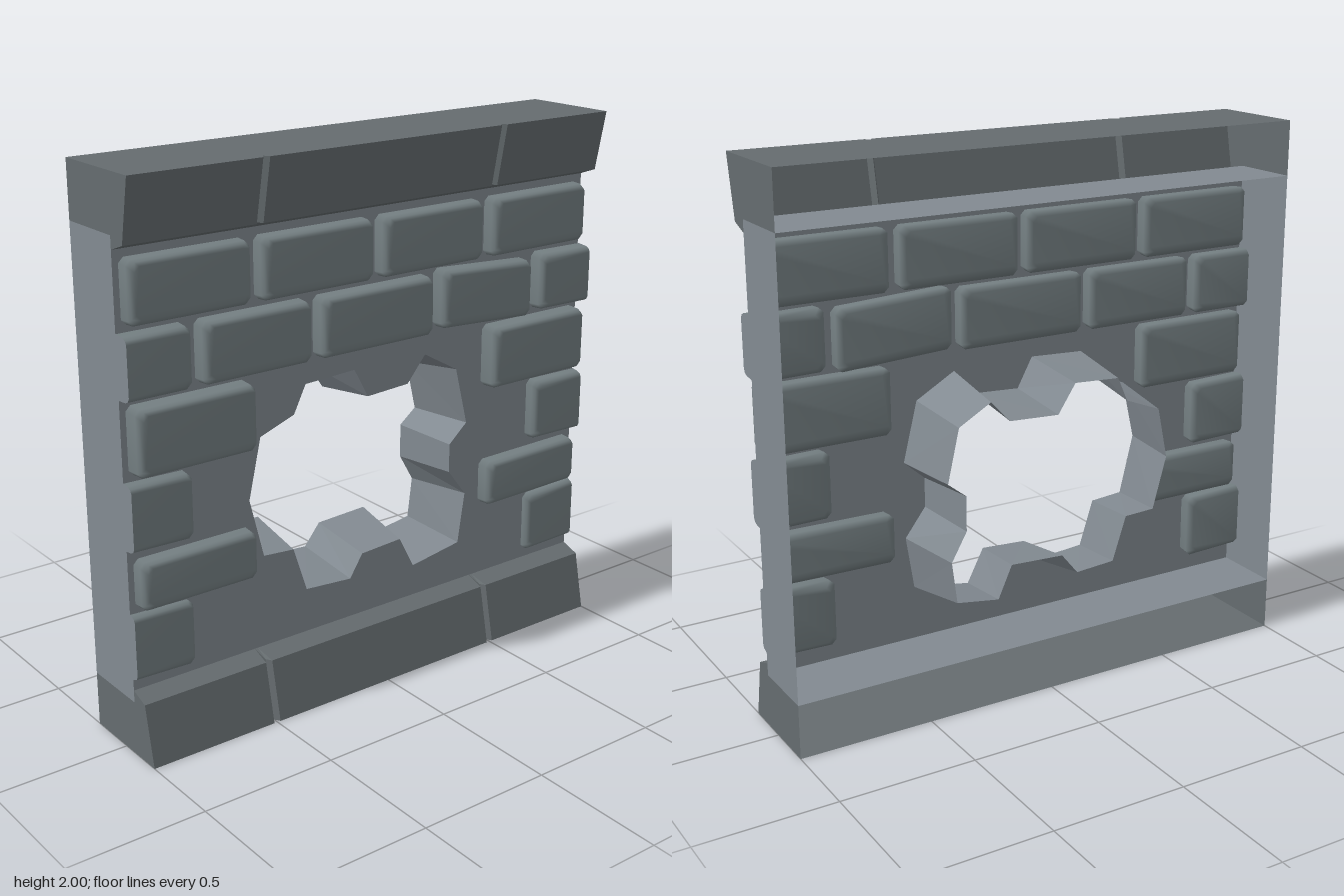
import * as THREE from 'three';

const FACE = 0.07, BACK = -0.19, BRICK_BACK = 0.01;
const flatMaterial = (color) => new THREE.MeshStandardMaterial({ color, flatShading: true, side: THREE.DoubleSide });
const wallMaterial = flatMaterial(0x828a91);
const courseMaterial = flatMaterial(0x656c6f);
const brickMaterial = new THREE.MeshStandardMaterial({ color: 0x747f82, side: THREE.DoubleSide });

// Skin between equal-length loops of [x, y, z]; optionally closed around and capped at both ends
function loft(loops, closed, capped) {
  const n = loops[0].length, index = [];
  for (let j = 0; j + 1 < loops.length; j++) {
    for (let i = 0; i < (closed ? n : n - 1); i++) {
      const a = j * n + i, b = j * n + (i + 1) % n;
      index.push(a, b, b + n, a, b + n, a + n);
    }
  }
  if (capped) {
    const s = (loops.length - 1) * n;
    for (let i = 1; i < n - 1; i++) index.push(s, s + i, s + i + 1, 0, i + 1, i);
  }
  const g = new THREE.BufferGeometry();
  g.setAttribute('position', new THREE.Float32BufferAttribute(loops.flat(2), 3));
  g.setIndex(index);
  g.computeVertexNormals();
  return g;
}

function add(group, name, geometry, material) {
  const mesh = new THREE.Mesh(geometry, material);
  mesh.name = name;
  group.add(mesh);
  return mesh;
}

const toVectors = (pts) => pts.map(([x, y]) => new THREE.Vector2(x, y));

// Flat outline of [z, y] points closing the wall at x = side
function addEnd(group, name, outline, side, material) {
  const shape = new THREE.Shape(toVectors(outline.map(([z, y]) => [-z * side, y])));
  const end = add(group, name, new THREE.ShapeGeometry(shape), material);
  end.rotation.y = side * Math.PI / 2;
  end.position.x = side;
}

// Ragged opening: outline on the front face and the narrower one at the back
const holeFront = [
  [-0.52, 0.81], [-0.47, 1.03], [-0.33, 1.08], [-0.28, 1.18], [-0.07, 1.19], [-0.01, 1.08], [0.17, 1.09],
  [0.25, 1.185], [0.4, 1.1], [0.455, 0.88], [0.375, 0.81], [0.375, 0.7], [0.455, 0.595], [0.425, 0.4],
  [0.205, 0.365], [0.14, 0.49], [-0.035, 0.48], [-0.09, 0.395], [-0.285, 0.41], [-0.34, 0.58], [-0.465, 0.59]];
const holeBack = [
  [-0.49, 0.81], [-0.45, 1.0], [-0.31, 1.055], [-0.27, 1.145], [-0.09, 1.155], [-0.02, 1.05], [0.175, 1.06],
  [0.25, 1.14], [0.375, 1.07], [0.42, 0.875], [0.35, 0.82], [0.35, 0.69], [0.41, 0.585], [0.39, 0.43],
  [0.225, 0.405], [0.17, 0.525], [-0.04, 0.515], [-0.105, 0.435], [-0.26, 0.445], [-0.315, 0.61], [-0.435, 0.615]];

// Brick rows: bottom, top, front z, and [left, right, tilt] per brick
const rows = [
  [1.51, 1.73, 0.13, [[-0.98, -0.52, 0], [-0.485, -0.02, 0], [0.015, 0.475, 0], [0.515, 0.98, 0]]],
  [1.27, 1.49, 0.135, [[-1, -0.755, 0], [-0.72, -0.285, 0], [-0.25, 0.245, 0], [0.28, 0.715, -0.012], [0.755, 1, -0.002]]],
  [1.01, 1.25, 0.145, [[-0.98, -0.52, 0], [0.52, 0.985, 0]]],
  [0.75, 0.99, 0.12, [[-1, -0.76, -0.003], [0.755, 1, -0.002]]],
  [0.54, 0.72, 0.13, [[-0.98, -0.52, 0], [0.52, 0.98, 0.003]]],
  [0.28, 0.525, 0.1, [[-1, -0.76, -0.004], [0.755, 1, 0.003]]]];

// Rectangle with clipped corners; a side on the wall's end stays flush, and the loop then starts and ends there
function brickOutline(x0, x1, y0, y1, tilt, inset) {
  const c = 0.018, l = x0 <= -1 ? 0 : 1, r = x1 >= 1 ? 0 : 1;
  const a = x0 + inset * l, b = x1 - inset * r, lo = y0 + inset, hi = y1 - inset;
  const lower = [[a + c * l, lo], [b - c * r, lo]], upper = [[b - c * r, hi], [a + c * l, hi]];
  if (l) {
    lower.unshift([a, lo + c]);
    upper.push([a, hi - c]);
  }
  if (r) {
    lower.push([b, lo + c]);
    upper.unshift([b, hi - c]);
  }
  const mid = (x0 + x1) / 2, half = (x1 - x0) / 2;
  return (r ? [...lower, ...upper] : [...upper, ...lower]).map(([x, y]) => [x, y + tilt * (x - mid) / half]);
}

// Rounded brick standing out on both faces of the panel
function addBrick(group, x0, x1, y0, y1, z, tilt) {
  const steps = [[0.02, BRICK_BACK], [0, BRICK_BACK + 0.018], [0.004, z - 0.022], [0.011, z - 0.007], [0.024, z]];
  const rings = steps.map(([inset, depth]) =>
    brickOutline(x0, x1, y0, y1, tilt, inset).map(([x, y]) => [x, y, depth]));
  const side = x0 <= -1 ? -1 : x1 >= 1 ? 1 : 0;
  add(group, 'brick', loft(rings, side === 0, true), brickMaterial);
  if (side) {
    // Cut face of a half brick, from the panel forwards
    const edge = (i) => rings.slice(2).map((ring) => [ring.at(i)[2], ring.at(i)[1]]);
    const first = [[FACE, rings[1][0][1]], ...edge(0)], last = [[FACE, rings[1].at(-1)[1]], ...edge(-1)];
    addEnd(group, 'cutBrickEnd', [...first, ...last.reverse()], side, wallMaterial);
  }
}

// Stone course with V grooves, open at the back
function course(name, top) {
  const group = new THREE.Group();
  group.name = name;
  const place = (pts) => (top ? pts : pts.map(([z, y]) => [z, 2 - y]).reverse());
  const front = [[BACK, 2], [0.185, 2], [0.14, 1.78], [FACE, 1.755]];
  const stations = [[-1, 0], [-0.513, 0], [-0.5, 0.022], [-0.487, 0], [0.487, 0], [0.5, 0.022], [0.513, 0], [1, 0]];
  const loops = stations.map(([x, d]) => place(front).map(([z, y]) => [x, y, z > FACE ? z - d : z]));
  add(group, 'stoneCourse', loft(loops, false, false), courseMaterial);
  for (const side of [-1, 1]) {
    addEnd(group, 'courseEnd', place([...front, [FACE, 1.8], [BACK, 1.8]]), side, courseMaterial);
  }
  return group;
}

export function createModel() {
  const model = new THREE.Group();
  model.name = 'brokenBrickWall';

  // Front panel with the opening
  const panel = new THREE.Shape(toVectors([[-1, 0.2], [1, 0.2], [1, 1.8], [-1, 1.8]]));
  panel.holes.push(new THREE.Path(toVectors(holeFront)));
  add(model, 'wallFace', new THREE.ShapeGeometry(panel), wallMaterial).position.z = FACE;

  // Tunnel walls of the opening
  add(model, 'openingWalls', loft([
    holeBack.map(([x, y]) => [x, y, BACK]), holeFront.map(([x, y]) => [x, y, FACE])], true, false), wallMaterial);

  // Ends, top and bottom of the hollow wall
  for (const side of [-1, 1]) {
    addEnd(model, 'wallEnd', [[FACE, 0.2], [FACE, 1.8], [BACK, 1.8], [BACK, 0.2]], side, wallMaterial);
    const ledge = add(model, 'wallLedge', new THREE.PlaneGeometry(2, FACE - BACK), wallMaterial);
    ledge.rotation.x = -side * Math.PI / 2;
    ledge.position.set(0, 1 + 0.8 * side, (FACE + BACK) / 2);
  }

  // Bricks
  const bricks = new THREE.Group();
  bricks.name = 'bricks';
  for (const [y0, y1, z, list] of rows) {
    for (const [x0, x1, tilt] of list) addBrick(bricks, x0, x1, y0, y1, z, tilt);
  }

  // Top and bottom stone courses
  model.add(bricks, course('topCourse', true), course('bottomCourse', false));
  return model;
}
